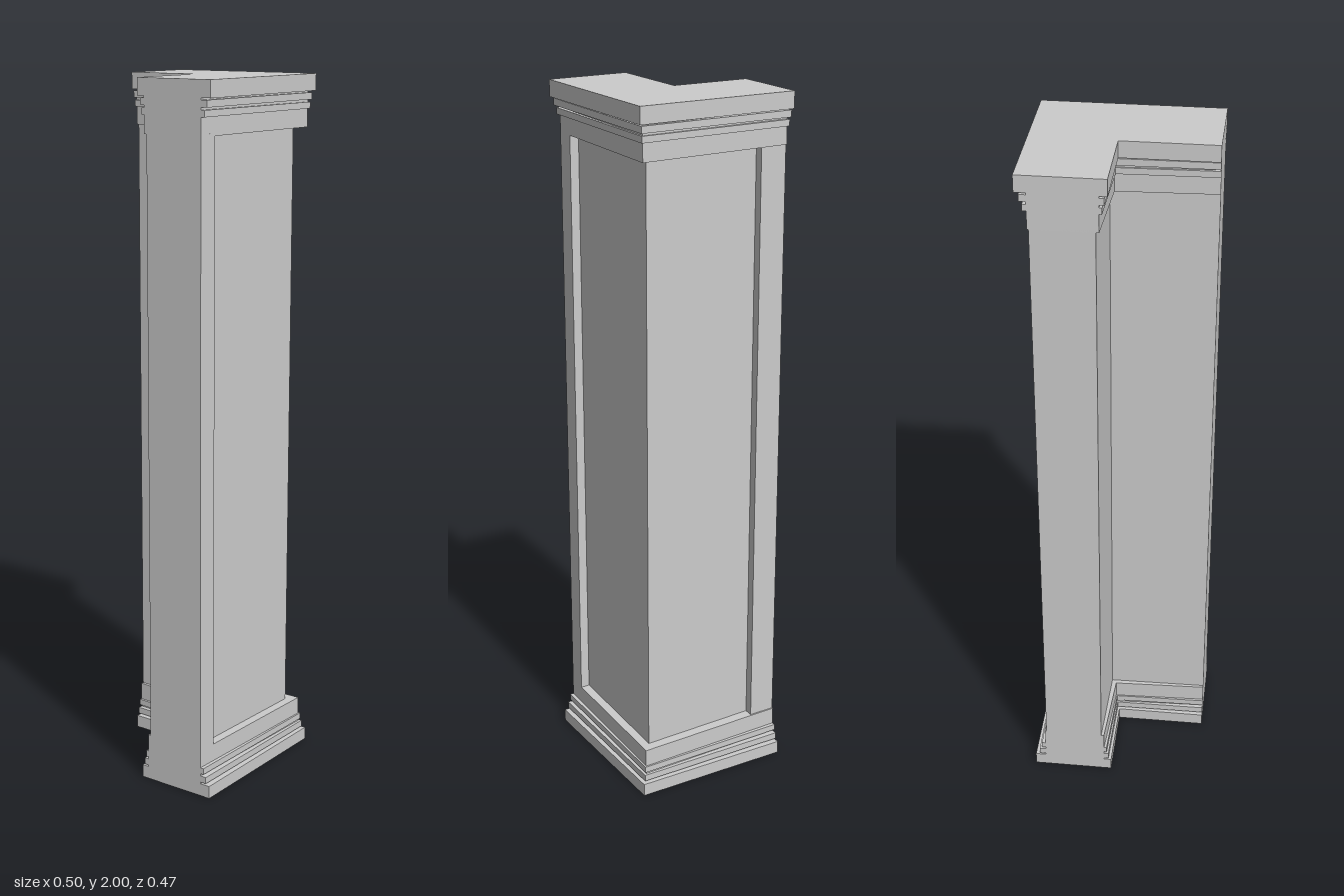
import * as THREE from 'three';

const material = new THREE.MeshStandardMaterial({ color: 0xcccccc, flatShading: true });

// Extrude an outline of [x, z] points between two heights
function prism(name, points, y0, y1) {
  const shape = new THREE.Shape(points.map(([x, z]) => new THREE.Vector2(x, z)));
  const geometry = new THREE.ExtrudeGeometry(shape, { depth: y1 - y0, bevelEnabled: false });
  geometry.rotateX(Math.PI / 2).translate(0, y1, 0);
  const mesh = new THREE.Mesh(geometry, material);
  mesh.name = name;
  return mesh;
}

// L-shaped outline, set in by c at the corners and by e at the flush leg ends
function corner(c, e) {
  const inner = e * 0.7;
  return [
    [-0.25, 0.234 - e], [0.25 - c, 0.234 - c], [0.25 - e, -0.234],
    [0.015 + inner, -0.234], [0.015 + c * 0.7, -0.005 + c * 0.7], [-0.25, -0.005 + inner],
  ];
}

export function createModel() {
  const group = new THREE.Group();
  group.name = 'cornerPilaster';

  // Shaft: sunk panels meet at the outer corner, a stile closes each leg end
  group.add(prism('panelledShaft', [
    [-0.25, 0.203], [-0.19, 0.205], [-0.191, 0.178],
    [0.203, 0.191],
    [0.19, -0.156], [0.217, -0.155], [0.215, -0.234],
    [0.045, -0.234], [0.04, 0.02], [-0.25, 0.025],
  ], 0.13, 1.86));

  // Mouldings: name, distances from the end, corner and leg-end insets
  const bands = [
    ['Slab', 0, 0.037, 0, 0],
    ['OuterBead', 0.042, 0.061, 0.008, 0.012],
    ['InnerBead', 0.068, 0.086, 0.011, 0.02],
    ['Rail', 0.037, 0.137, 0.016, 0.031],
  ];
  for (const [name, a, b, c, e] of bands) {
    group.add(prism('base' + name, corner(c, e), a, b));
    const start = a === 0 ? 2 : 1.99 - a;
    group.add(prism('capital' + name, corner(c, e), 1.99 - b, start));
  }
  return group;
}
